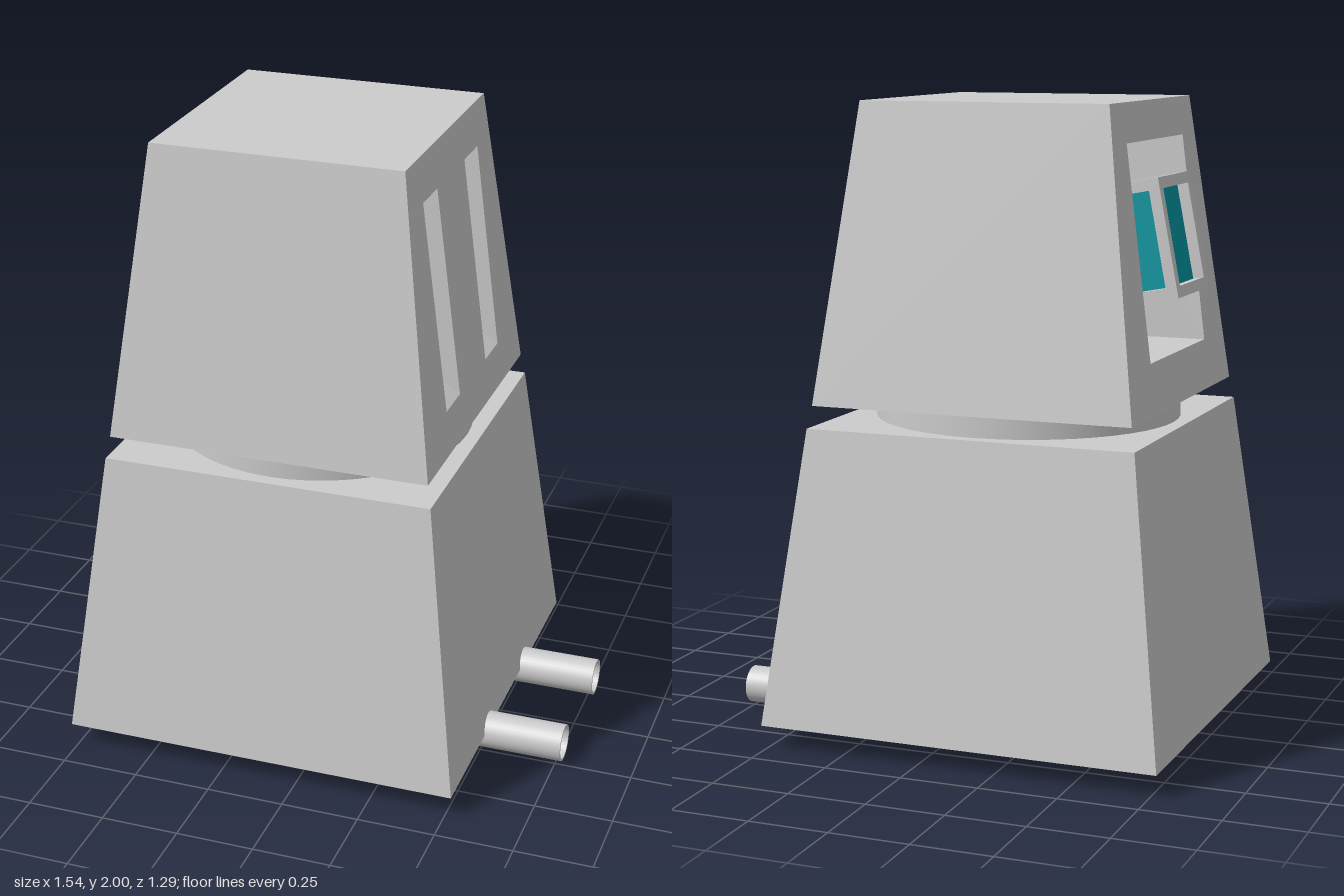
import * as THREE from 'three';
import { mergeGeometries } from 'three/addons/utils/BufferGeometryUtils.js';

const CX = -0.125; // centre of the square body
const grey = new THREE.MeshStandardMaterial({ color: 0xcccccc, side: THREE.DoubleSide });
const teal = new THREE.MeshStandardMaterial({ color: 0x0097a3 });

function part(name, geometry, material = grey) {
  const mesh = new THREE.Mesh(geometry, material);
  mesh.name = name;
  return mesh;
}

// Flat four-cornered faces, corners anticlockwise from the visible side
function quads(list) {
  const pos = list.flatMap(([a, b, c, d]) => [a, b, c, a, c, d].flat());
  const g = new THREE.BufferGeometry();
  g.setAttribute('position', new THREE.Float32BufferAttribute(pos, 3));
  g.computeVertexNormals();
  return g;
}

// Tapered square block; holes[side] lists recesses cut into that side
// (side 0 faces +z, then +x, -z, -x)
function taperedBlock(name, y0, y1, h0, h1, holes = {}) {
  const half = (y) => h0 + (h1 - h0) * (y - y0) / (y1 - y0);
  const pieces = [];
  for (let side = 0; side < 4; side++) {
    const shape = new THREE.Shape([[-h0, y0], [h0, y0], [h1, y1], [-h1, y1]].map((p) => new THREE.Vector2(...p)));
    const parts = [];
    for (const { u, w, v0, v1, taper, depth } of holes[side] ?? []) {
      const rim = [[u - w, v0], [u + w, v0], [u + w, v1], [u - w, v1]];
      shape.holes.push(new THREE.Path(rim.map((p) => new THREE.Vector2(...p)).reverse()));
      const back = half((v0 + v1) / 2) - depth;
      const outer = rim.map(([a, b]) => [a, b, half(b)]);
      const inner = rim.map(([a, b], i) => [a, b + (i < 2 ? taper : -taper), back]);
      const walls = outer.map((p, i) => [p, outer[(i + 1) % 4], inner[(i + 1) % 4], inner[i]]);
      parts.push(quads([inner, ...walls]));
    }
    // Lean the flat panel onto the slope
    const panel = new THREE.ShapeGeometry(shape).toNonIndexed();
    const p = panel.attributes.position;
    for (let i = 0; i < p.count; i++) p.setZ(i, half(p.getY(i)));
    panel.deleteAttribute('uv');
    panel.computeVertexNormals();
    parts.push(panel);
    parts.forEach((g) => pieces.push(g.rotateY(side * Math.PI / 2)));
  }
  pieces.push(quads([
    [[-h1, y1, h1], [h1, y1, h1], [h1, y1, -h1], [-h1, y1, -h1]],
    [[-h0, y0, -h0], [h0, y0, -h0], [h0, y0, h0], [-h0, y0, h0]],
  ]));
  const mesh = part(name, mergeGeometries(pieces));
  mesh.position.x = CX;
  return mesh;
}

// Box made of twelve edge bars around a coloured core, front face at z = 0
function framedLens(w, h, d, bar) {
  const group = new THREE.Group();
  group.name = 'framedLens';
  const bars = [];
  for (const a of [-1, 1]) {
    for (const b of [-1, 1]) {
      const x = (w - bar) / 2, y = (h - bar) / 2, z = (d - bar) / 2;
      bars.push(new THREE.BoxGeometry(w, bar, bar).translate(0, a * y, b * z));
      bars.push(new THREE.BoxGeometry(bar, h - 2 * bar, bar).translate(a * x, 0, b * z));
      bars.push(new THREE.BoxGeometry(bar, bar, d - 2 * bar).translate(a * x, b * y, 0));
    }
  }
  const frame = part('lensFrame', mergeGeometries(bars));
  const core = part('lensCore', new THREE.BoxGeometry(w - 2 * bar, h - 2 * bar, d - 2 * bar), teal);
  frame.position.z = core.position.z = -d / 2;
  group.add(frame, core);
  return group;
}

export function createModel() {
  const model = new THREE.Group();
  model.name = 'model';

  // Body, neck and head
  model.add(taperedBlock('lowerBody', 0.07, 1.0, 0.645, 0.53));
  const neck = part('neck', new THREE.CylinderGeometry(0.485, 0.485, 0.07, 48, 1, true));
  neck.position.set(CX, 1.035, 0);
  model.add(neck);
  const slot = { w: 0.07, v0: 1.205, v1: 1.865, taper: 0.12, depth: 0.15 };
  model.add(taperedBlock('head', 1.07, 2.0, 0.517, 0.4, {
    1: [{ ...slot, u: -0.21 }, { ...slot, u: 0.21 }],
    3: [{ u: 0, w: 0.283, v0: 1.225, v1: 1.88, taper: 0, depth: 0.31 }],
  }));

  // Tilted lens standing in the large recess
  const mount = new THREE.Group();
  mount.name = 'lensMount';
  mount.position.x = CX;
  mount.rotation.y = -Math.PI / 2;
  const lens = framedLens(0.325, 0.37, 0.35, 0.035);
  lens.position.set(0, 1.592, 0.51);
  lens.rotation.x = -0.19;
  mount.add(lens);
  model.add(mount);

  // Hollow pipes under the body, closed at the inner end
  const profile = [[0, -0.4475], [0.06, -0.4475], [0.06, -0.4475], [0.06, 0.4475], [0.06, 0.4475],
    [0.052, 0.4475], [0.052, 0.4475], [0.052, -0.44], [0.052, -0.44], [0, -0.44]];
  for (const s of [-1, 1]) {
    const points = profile.map((p) => new THREE.Vector2(...p));
    const pipe = part(s > 0 ? 'frontPipe' : 'rearPipe', new THREE.LatheGeometry(points, 32));
    pipe.rotation.z = -Math.PI / 2;
    pipe.position.set(0.3225, 0.06, s * 0.213);
    model.add(pipe);
  }
  return model;
}
